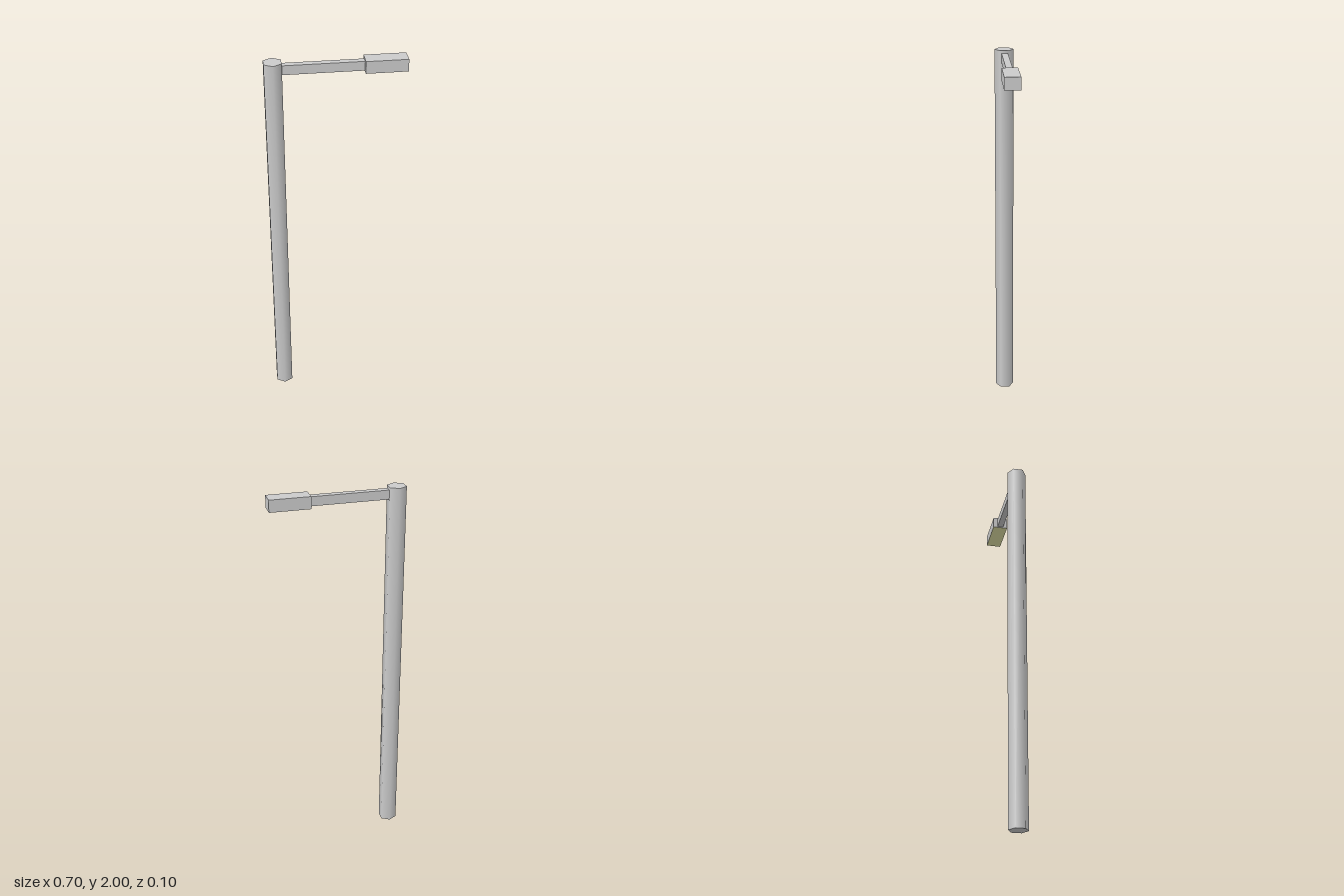
import * as THREE from 'three';

const grey = new THREE.MeshStandardMaterial({ color: 0xcccccc });
const glow = new THREE.MeshStandardMaterial({ color: 0xe6e6a8 });

// Box given by its limits along x and y, centred on z = 0
function beam(name, x0, x1, y0, y1, depth, material) {
  const mesh = new THREE.Mesh(new THREE.BoxGeometry(x1 - x0, y1 - y0, depth), material);
  mesh.position.set((x0 + x1) / 2, (y0 + y1) / 2, 0);
  mesh.name = name;
  return mesh;
}

export function createModel() {
  const model = new THREE.Group();
  model.name = 'streetLight';

  // Six-sided pole with smooth shading and corners facing front and back
  const pole = new THREE.Mesh(new THREE.CylinderGeometry(0.05, 0.05, 2, 6), grey);
  pole.position.set(-0.305, 1, 0);
  pole.name = 'pole';
  model.add(pole);

  // Arm reaching from the pole to the lamp
  model.add(beam('arm', -0.263, 0.138, 1.938, 1.986, 0.033, grey));

  // Lamp head, whose underside is the light panel
  const faces = [grey, grey, grey, glow, grey, grey];
  model.add(beam('lampHead', 0.138, 0.347, 1.932, 1.995, 0.08, faces));

  return model;
}
